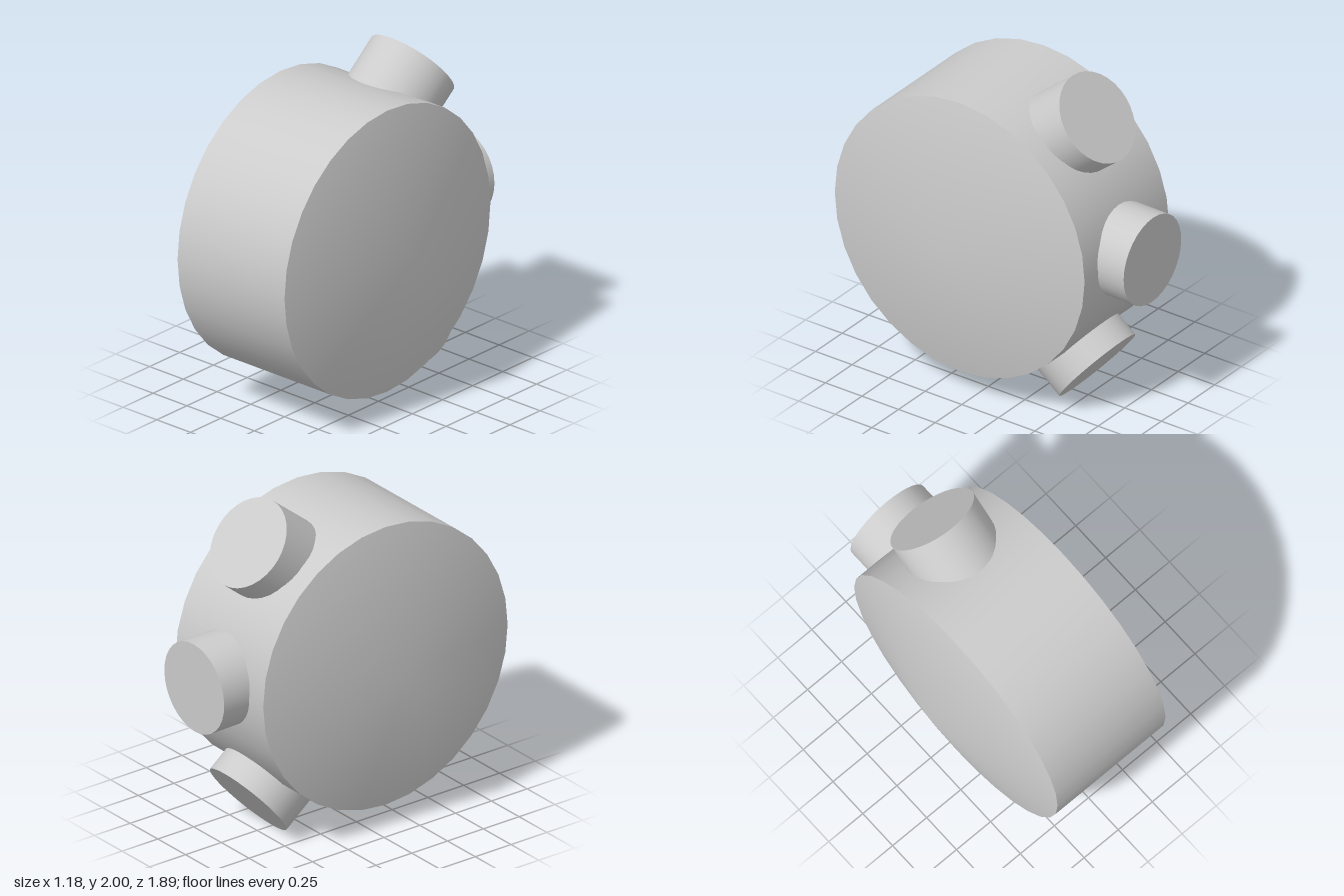
import * as THREE from 'three';
import { toCreasedNormals } from 'three/addons/utils/BufferGeometryUtils.js';

export function createModel() {
  const model = new THREE.Group();
  const material = new THREE.MeshStandardMaterial({ color: 0xcccccc });

  // Drum: a wide cylinder on its side, each end a shallow cone
  const profile = [[0, -0.59], [0.854, -0.396], [0.854, 0.396], [0, 0.59]]
    .map(([r, h]) => new THREE.Vector2(r, h));
  const drumGeometry = new THREE.LatheGeometry(profile, 32).rotateZ(-Math.PI / 2);
  const drum = new THREE.Mesh(toCreasedNormals(drumGeometry, 0.6), material);
  drum.name = 'drum';
  drum.position.set(0, 0.991, 0.09);
  model.add(drum);

  // Knobs: stubs sunk into the back of the drum; origin at the outer face
  const length = 0.45;
  const knobGeometry = new THREE.CylinderGeometry(0.27, 0.27, length, 32)
    .translate(0, -length / 2, 0)
    .rotateX(-Math.PI / 2);
  const knobs = [
    ['upperKnob', 1.79, -0.562, 39],
    ['middleKnob', 1.01, -0.939, -1],
    ['lowerKnob', 0.213, -0.562, -39],
  ];
  for (const [name, y, z, upwardTilt] of knobs) {
    const knob = new THREE.Mesh(knobGeometry, material);
    knob.name = name;
    knob.position.set(0, y, z);
    knob.rotation.x = THREE.MathUtils.degToRad(upwardTilt);
    model.add(knob);
  }
  return model;
}
